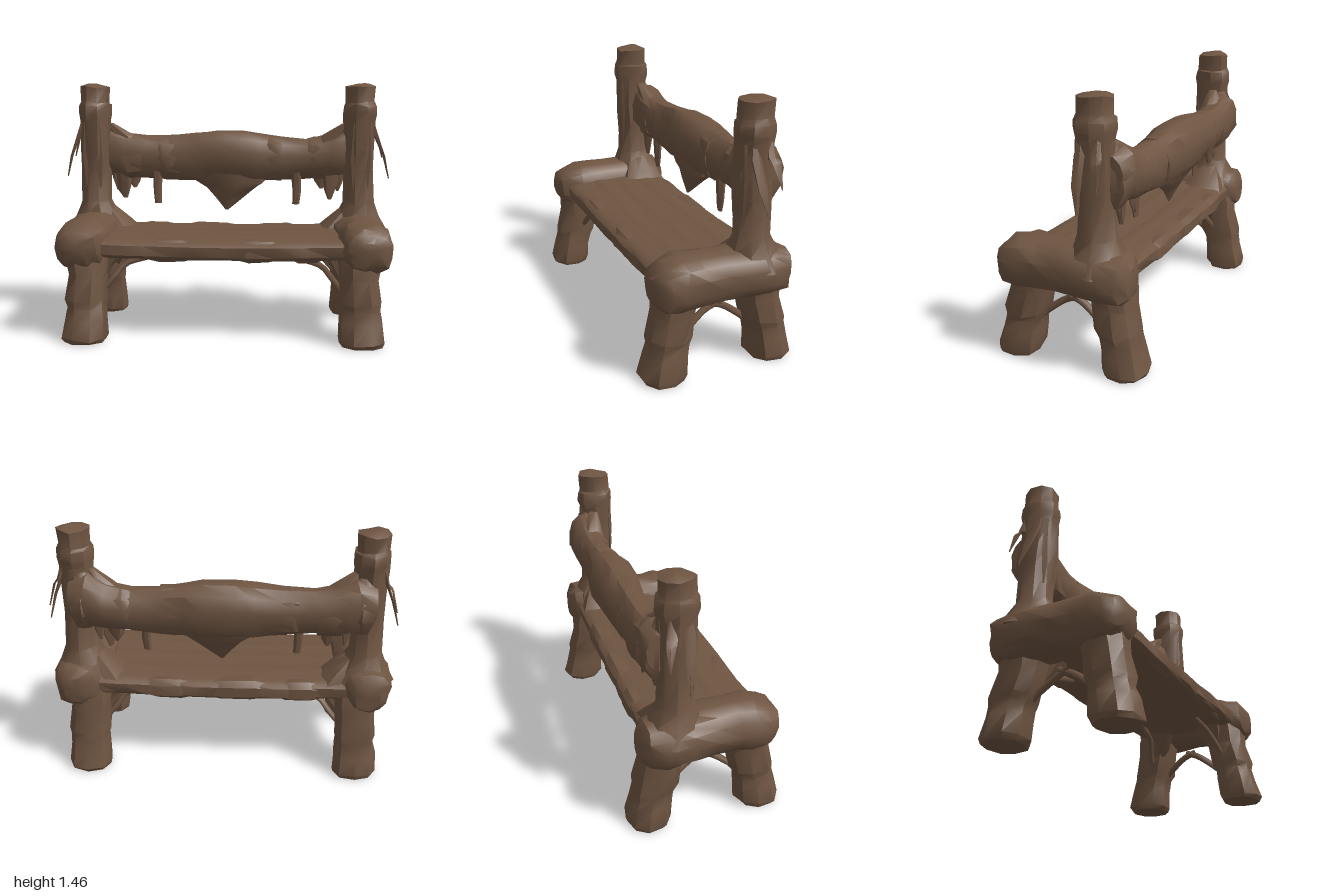
import * as THREE from 'three';
import { toCreasedNormals } from 'three/addons/utils/BufferGeometryUtils.js';

let seed = 7;
const rand = () => {
  seed = (seed * 16807) % 2147483647;
  return seed / 2147483647 - 0.5;
};

// Loft of rough rounded rings [x, y, z, ru, rv] ascending along an axis.
// Radii run (y,z) for axis x, (z,x) for axis y and (x,y) for axis z.
function loft(axis, rings, { sides = 10, power = 2, rough = 0.08, crease = 0.7 } = {}) {
  const w = 'xyz'.indexOf(axis), u = (w + 1) % 3, v = (w + 2) % 3;
  const pos = [], index = [];
  const bend = (t) => Math.sign(t) * Math.pow(Math.abs(t), 2 / power);
  rings.forEach((r, i) => {
    const inner = i > 0 && i < rings.length - 1;
    for (let j = 0; j < sides; j++) {
      const a = ((j + 0.5) / sides) * Math.PI * 2;
      const k = 1 + rand() * rough;
      const p = [r[0], r[1], r[2]];
      p[u] += bend(Math.cos(a)) * r[3] * k;
      p[v] += bend(Math.sin(a)) * r[4] * k;
      if (inner) p[w] += rand() * rough * 0.25;
      pos.push(...p);
    }
  });
  for (let i = 0; i < rings.length - 1; i++) {
    for (let j = 0; j < sides; j++) {
      const a = i * sides + j, b = i * sides + (j + 1) % sides;
      index.push(a, b, b + sides, a, b + sides, a + sides);
    }
  }
  const n = rings.length, last = (n - 1) * sides;
  pos.push(...rings[0].slice(0, 3), ...rings[n - 1].slice(0, 3));
  for (let j = 0; j < sides; j++) {
    const k = (j + 1) % sides;
    index.push(n * sides, k, j, n * sides + 1, last + j, last + k);
  }
  const g = new THREE.BufferGeometry();
  g.setAttribute('position', new THREE.Float32BufferAttribute(pos, 3));
  g.setIndex(index);
  return toCreasedNormals(g, crease);
}

export function createModel() {
  seed = 7;
  const bark = new THREE.MeshStandardMaterial({ color: 0x6f5542 });
  bark.name = 'bark brown';
  const model = new THREE.Group();
  model.name = 'rustic log bench';
  const add = (name, geo) => {
    const m = new THREE.Mesh(geo, bark);
    m.name = name;
    model.add(m);
  };
  const root = (name, pts, r) => add(name, new THREE.TubeGeometry(
    new THREE.CatmullRomCurve3(pts.map((p) => new THREE.Vector3(...p))), 8, r, 5));

  // Seat slab with rounded, uneven edges
  const slab = [];
  for (let i = 0; i <= 10; i++) {
    const x = -0.75 + i * 0.15;
    slab.push([x, 0.53 + 0.012 * (x / 0.7) ** 2, 0.003 + rand() * 0.012, 0.064, 0.333]);
  }
  add('seat', loft('x', slab, { sides: 20, power: 4.5, rough: 0.025 }));
  // Low boards along the top and underside of the seat
  for (const z of [-0.16, -0.01, 0.14]) {
    for (const [name, y] of [['seatBoard', 0.575], ['underBoard', 0.487]]) {
      const rings = [-0.66, -0.3, 0.05, 0.35, 0.66].map((x) =>
        [x, y + 0.012 * (x / 0.7) ** 2, z + rand() * 0.03, 0.021, 0.07]);
      add(name, loft('x', rings, { sides: 8, power: 3, rough: 0.1 }));
    }
  }
  // Bark bulges along the front and back edges
  const bulges = [[-0.3, 0.265, 0.16], [0.2, 0.27, 0.15], [0.48, 0.265, 0.1],
    [-0.45, -0.27, 0.14], [-0.1, -0.27, 0.2], [0.3, -0.27, 0.16]];
  for (const [x, z, len] of bulges) {
    add('edgeBark', loft('x', [
      [x - len, 0.53, z, 0.045, 0.05], [x - len * 0.4, 0.53, z, 0.066, 0.066],
      [x + len * 0.5, 0.53, z, 0.064, 0.068], [x + len, 0.53, z, 0.045, 0.05],
    ], { sides: 8, power: 2.6, rough: 0.1 }));
  }

  for (const s of [-1, 1]) {
    // Thick log across each end of the seat
    add('sideLog', loft('z', [
      [0.83 * s, 0.54, -0.375, 0.07, 0.08], [0.83 * s, 0.55, -0.335, 0.125, 0.125],
      [0.82 * s, 0.55, -0.24, 0.16, 0.14], [0.815 * s, 0.555, -0.12, 0.165, 0.135],
      [0.805 * s, 0.555, 0.02, 0.152, 0.135], [0.8 * s, 0.55, 0.14, 0.15, 0.145],
      [0.805 * s, 0.55, 0.24, 0.158, 0.145], [0.81 * s, 0.545, 0.32, 0.145, 0.125],
      [0.81 * s, 0.55, 0.365, 0.115, 0.095], [0.81 * s, 0.555, 0.39, 0.06, 0.05],
    ], { sides: 13, power: 2.4, rough: 0.11 }));

    // Splayed front and back legs with stepped bark
    for (const f of [1, -1]) {
      add(f > 0 ? 'frontLeg' : 'backLeg', loft('y', [
        [0.79 * s, 0.01, 0.318 * f, 0.11, 0.122], [0.79 * s, 0.035, 0.316 * f, 0.127, 0.132],
        [0.785 * s, 0.14, 0.3 * f, 0.115, 0.122], [0.785 * s, 0.21, 0.285 * f, 0.112, 0.113],
        [0.785 * s, 0.25, 0.275 * f, 0.126, 0.123], [0.775 * s, 0.38, 0.247 * f, 0.12, 0.113],
        [0.78 * s, 0.47, 0.235 * f, 0.13, 0.128], [0.78 * s, 0.56, 0.22 * f, 0.12, 0.12],
      ], { sides: 9, power: 2.3, rough: 0.09 }));
      // Root braces between the legs
      root('legBrace', [[0.78 * s, 0.21, 0.21 * f], [0.77 * s, 0.27, 0.14 * f],
        [0.76 * s, 0.335, 0.05 * f], [0.77 * s, 0.37, -0.03 * f]], 0.02);
      // Root braces from the legs to the seat
      root('seatBrace', [[0.7 * s, 0.28, 0.25 * f], [0.63 * s, 0.36, 0.23 * f],
        [0.57 * s, 0.43, 0.2 * f], [0.42 * s, 0.475, 0.18 * f]], 0.018);
      // Root web where leg, log and seat join
      add('rootWeb', loft('y', [
        [0.7 * s, 0.32, 0.22 * f, 0.03, 0.02], [0.68 * s, 0.4, 0.19 * f, 0.06, 0.035],
        [0.64 * s, 0.49, 0.17 * f, 0.1, 0.07],
      ], { sides: 6, rough: 0.2 }));
    }

    // Upright post with a flared base, a collar and a slightly domed top
    add('post', loft('y', [
      [0.81 * s, 0.58, -0.19, 0.16, 0.18], [0.81 * s, 0.67, -0.18, 0.135, 0.135],
      [0.815 * s, 0.75, -0.175, 0.1, 0.095], [0.81 * s, 0.95, -0.175, 0.094, 0.092],
      [0.81 * s, 1.08, -0.172, 0.108, 0.092], [0.81 * s, 1.24, -0.17, 0.1, 0.097],
      [0.81 * s, 1.29, -0.17, 0.112, 0.102], [0.81 * s, 1.34, -0.17, 0.108, 0.1],
      [0.81 * s, 1.36, -0.17, 0.095, 0.088], [0.81 * s, 1.45, -0.172, 0.096, 0.092],
      [0.83 * s, 1.472, -0.19, 0.02, 0.025],
    ], { sides: 9 }));

    // Broad gusset where the post meets the seat
    add('postRoot', loft('y', [
      [0.63 * s, 0.57, -0.18, 0.15, 0.09], [0.68 * s, 0.635, -0.18, 0.115, 0.07],
      [0.75 * s, 0.72, -0.18, 0.06, 0.04],
    ], { sides: 8 }));

    // Bark peeling outwards from the post
    for (const [z, tip, low] of [[-0.13, 0.99, 0.9], [-0.22, 0.96, 1.02]]) {
      add('barkPeel', loft('y', [
        [tip * s, low, z - 0.03, 0.003, 0.004], [(tip - 0.035) * s, low + 0.13, z - 0.01, 0.028, 0.008],
        [0.9 * s, 1.17, z, 0.03, 0.012], [0.87 * s, 1.28, z, 0.01, 0.01],
      ], { sides: 5 }));
    }
    // Long bark strips lying against the post
    for (const [dx, z] of [[-0.04, -0.09], [0.045, -0.095], [0, -0.26]]) {
      add('barkStrip', loft('y', [
        [(0.81 + dx) * s, 0.84, z, 0.004, 0.006], [(0.81 + dx) * s, 1.02, z, 0.012, 0.03],
        [(0.81 + dx * 0.8) * s, 1.24, z, 0.012, 0.025],
      ], { sides: 5 }));
    }

    // Ragged strips hanging below the backrest
    const strips = [[0.43, 0.73, 0.026, 0.022, -0.2], [0.64, 0.76, 0.045, 0.012, -0.22],
      [0.59, 0.82, 0.045, 0.01, -0.27], [0.69, 0.81, 0.03, 0.008, -0.24]];
    for (const [x, low, w, tip, z] of strips) {
      add('hangingStrip', loft('y', [
        [x * s, low, z, 0.012, tip], [(x + 0.005) * s, low + 0.07, z, 0.02, w],
        [x * s, 0.98, z, 0.03, w * 1.3],
      ], { sides: 6, rough: 0.25 }));
    }

    // Knots behind the posts
    add('backKnot', loft('y', [
      [0.77 * s, 0.9, -0.26, 0.03, 0.05], [0.76 * s, 1.0, -0.285, 0.075, 0.09],
      [0.76 * s, 1.1, -0.28, 0.075, 0.09], [0.78 * s, 1.22, -0.23, 0.03, 0.04],
    ], { sides: 7 }));
    // Shoulder sloping from post to backrest
    add('shoulder', loft('y', [
      [0.6 * s, 1.05, -0.24, 0.08, 0.11], [0.65 * s, 1.15, -0.23, 0.06, 0.08],
      [0.73 * s, 1.23, -0.2, 0.025, 0.025],
    ], { sides: 7 }));
  }

  // Backrest log, thick in the middle and rising where it wraps the posts
  const back = [
    [-0.84, 1.07, 0.1, 0.08], [-0.74, 1.06, 0.155, 0.11], [-0.64, 1.035, 0.14, 0.108],
    [-0.5, 1.02, 0.13, 0.098], [-0.33, 1.015, 0.138, 0.1], [-0.18, 1.02, 0.15, 0.115],
    [-0.08, 1.025, 0.158, 0.13], [0.1, 1.025, 0.16, 0.13], [0.2, 1.02, 0.15, 0.115],
    [0.33, 1.01, 0.14, 0.098], [0.5, 1.01, 0.125, 0.095], [0.64, 1.03, 0.132, 0.108],
    [0.74, 1.06, 0.155, 0.11], [0.84, 1.07, 0.1, 0.08],
  ];
  add('backrest', loft('x', back.map(([x, y, ry, rz]) => [x, y, -0.25, ry, rz]),
    { sides: 11, power: 2.3, rough: 0.1 }));
  // Torn bark wraps around the backrest
  for (const [x, ry, rz] of [[-0.6, 0.135, 0.106], [-0.36, 0.14, 0.104], [0.27, 0.146, 0.108], [0.56, 0.13, 0.102]]) {
    add('barkWrap', loft('x', [
      [x - 0.06, 1.015, -0.25, ry * 0.92, rz * 0.92], [x - 0.02, 1.015, -0.25, ry, rz],
      [x + 0.07, 1.015, -0.25, ry * 0.95, rz * 0.95],
    ], { sides: 10, power: 2.3, rough: 0.12 }));
  }
  // Pointed growth hanging from the middle of the backrest
  add('centrePoint', loft('y', [
    [0, 0.69, -0.21, 0.005, 0.008], [0, 0.75, -0.215, 0.028, 0.07],
    [0.01, 0.82, -0.225, 0.055, 0.145], [0.01, 0.87, -0.235, 0.085, 0.23], [0, 0.97, -0.245, 0.1, 0.26],
  ], { sides: 9, rough: 0.13 }));

  return model;
}
